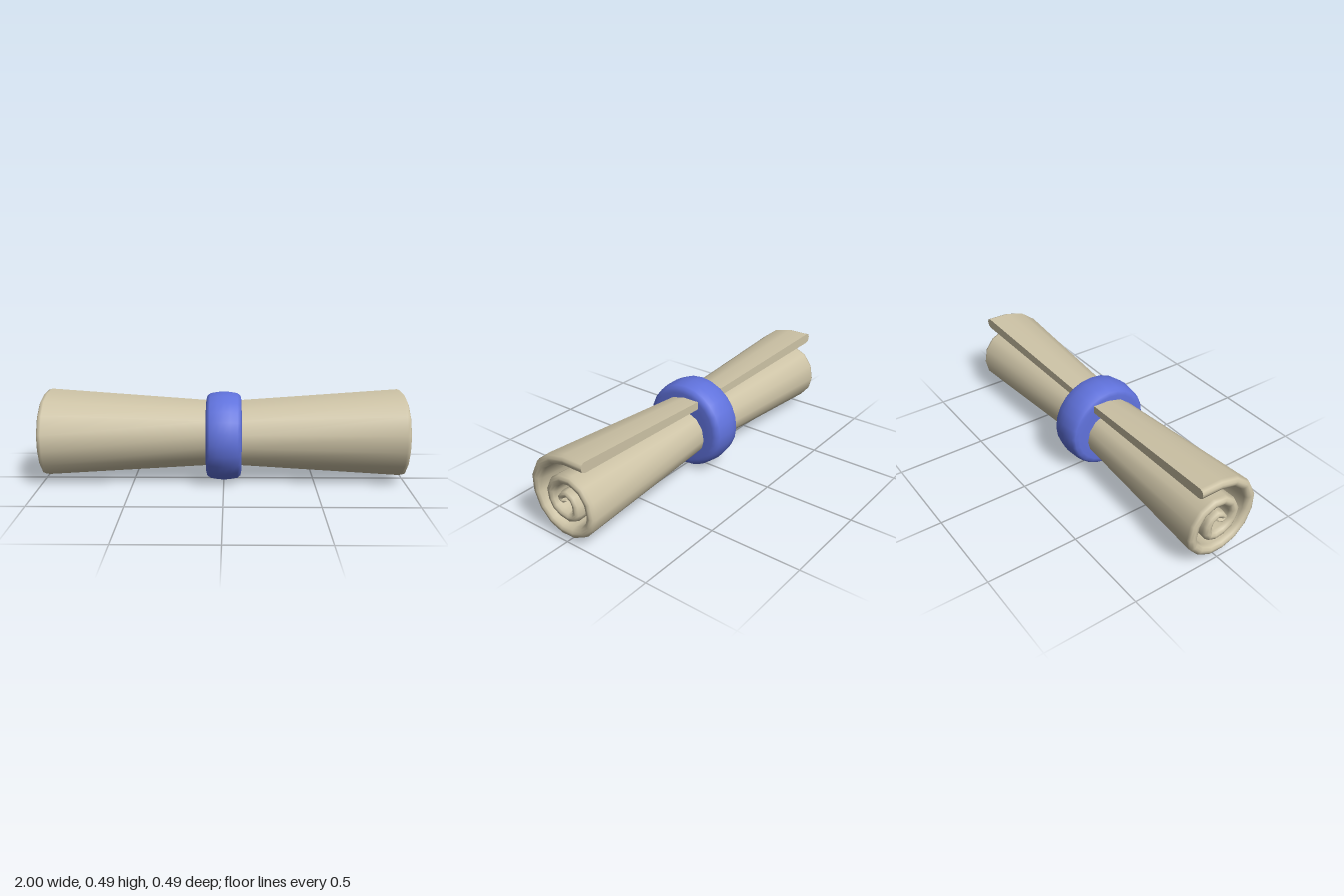
import * as THREE from 'three';

const AXIS_Y = 0.247; // height of the roll's axis

// Outer line of the rolled sheet at its end, from the free flap inwards: [z, y, thickness]
const SPIRAL = [
  [-0.134, 0.487, 0.057], [-0.01, 0.485, 0.057], [0.093, 0.459, 0.057], [0.175, 0.395, 0.056],
  [0.223, 0.30, 0.056], [0.22, 0.207, 0.056], [0.184, 0.12, 0.056], [0.118, 0.057, 0.056],
  [0.037, 0.029, 0.056], [-0.048, 0.032, 0.056], [-0.123, 0.07, 0.056], [-0.173, 0.129, 0.055],
  [-0.189, 0.195, 0.055], [-0.173, 0.279, 0.055], [-0.123, 0.345, 0.055], [-0.045, 0.379, 0.055],
  [0.032, 0.37, 0.054], [0.093, 0.325, 0.054], [0.123, 0.261, 0.053], [0.116, 0.2, 0.053],
  [0.089, 0.154, 0.053], [0.04, 0.127, 0.052], [-0.02, 0.118, 0.052], [-0.07, 0.139, 0.052],
  [-0.093, 0.18, 0.051], [-0.088, 0.232, 0.049], [-0.062, 0.275, 0.047], [-0.014, 0.295, 0.044],
  [0.025, 0.277, 0.04], [0.048, 0.245, 0.034], [0.038, 0.223, 0.03], [0.01, 0.216, 0.026],
  [-0.016, 0.234, 0.012],
];

// Cross-section of the sheet along x, rounded at both ends: [x, depth as a share of thickness]
const OUTER = [
  [-1, 0.4], [-0.993, 0.13], [-0.975, 0], [-0.1, 0],
  [0.1, 0], [0.975, 0], [0.993, 0.13], [1, 0.4],
];
const SECTION = [...OUTER, ...OUTER.map(([x, t]) => [x, 1 - t]).reverse()];

// The roll is pinched towards the band
const pinch = (x) => 0.755 + 0.245 * Math.max(0, Math.abs(x) - 0.1) / 0.9;

function sheetRow(i) {
  const [z, y, thick] = SPIRAL[i];
  const a = SPIRAL[Math.max(i - 1, 0)];
  const b = SPIRAL[Math.min(i + 1, SPIRAL.length - 1)];
  const dz = b[0] - a[0], dy = b[1] - a[1], len = Math.hypot(dz, dy);
  return SECTION.flatMap(([x, t]) => {
    const s = pinch(x), d = t * thick;
    return [x, AXIS_Y + (y - (dz / len) * d - AXIS_Y) * s, (z + (dy / len) * d) * s];
  });
}

function indexed(positions, index) {
  const g = new THREE.BufferGeometry();
  g.setAttribute('position', new THREE.Float32BufferAttribute(positions, 3));
  g.setIndex(index);
  g.computeVertexNormals();
  return g;
}

// Surface swept along the spiral
function sheetGeometry() {
  const n = SECTION.length, positions = [], index = [];
  SPIRAL.forEach((_, i) => positions.push(...sheetRow(i)));
  for (let i = 0; i < SPIRAL.length - 1; i++) {
    for (let j = 0; j < n; j++) {
      const a = i * n + j, b = i * n + (j + 1) % n;
      index.push(a, a + n, b, b, a + n, b + n);
    }
  }
  return indexed(positions, index);
}

// Flat long edge closing the sheet at one end of the spiral
function edgeGeometry(i, flip) {
  const n = SECTION.length, index = [];
  for (let j = 0; j < OUTER.length - 1; j++) {
    const a = j, b = j + 1, c = n - 2 - j, d = n - 1 - j;
    index.push(...(flip ? [a, c, b, a, d, c] : [a, b, c, a, c, d]));
  }
  return indexed(sheetRow(i), index);
}

export function createModel() {
  const group = new THREE.Group();
  const paper = new THREE.MeshStandardMaterial({ name: 'parchment', color: 0xcdc3a6 });
  const blue = new THREE.MeshStandardMaterial({ name: 'bandBlue', color: 0x6072dc });

  const add = (name, geometry, material) => {
    const mesh = new THREE.Mesh(geometry, material);
    mesh.name = name;
    group.add(mesh);
    return mesh;
  };

  // Rolled sheet and its two long edges
  add('rolledSheet', sheetGeometry(), paper);
  add('flapEdge', edgeGeometry(0, false), paper);
  add('innerEdge', edgeGeometry(SPIRAL.length - 1, true), paper);

  // Rounded band around the waist
  const half = [[0, 0.098], [0.16, 0.098], [0.2, 0.097], [0.222, 0.092], [0.236, 0.075], [0.243, 0.035]];
  const profile = [
    ...half.map(([r, h]) => new THREE.Vector2(r, -h)),
    new THREE.Vector2(0.246, 0),
    ...half.map(([r, h]) => new THREE.Vector2(r, h)).reverse(),
  ];
  const band = add('band', new THREE.LatheGeometry(profile, 24), blue);
  band.rotation.z = -Math.PI / 2;
  band.position.y = AXIS_Y;

  return group;
}
